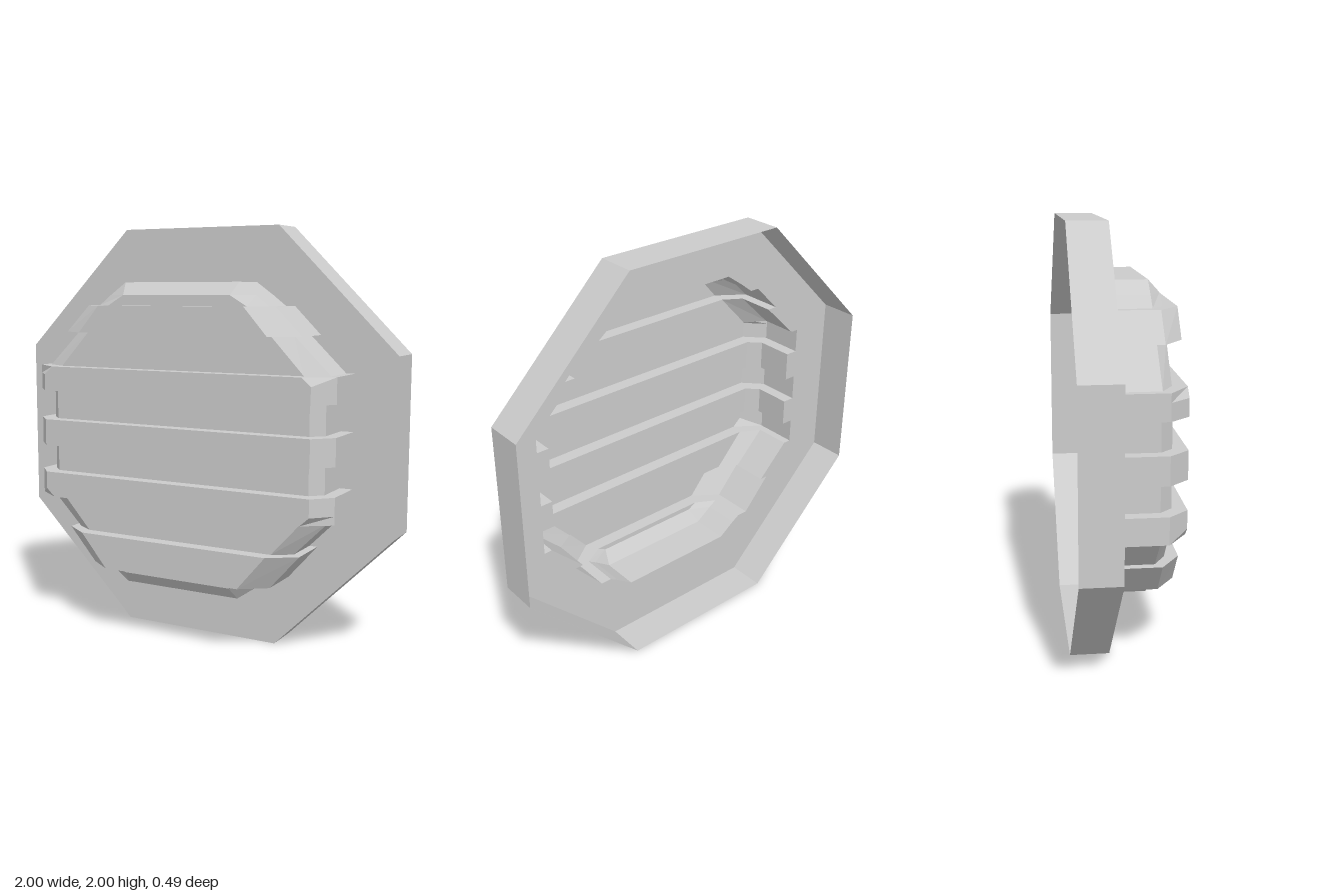
import * as THREE from 'three';

const BACK = -0.245, PLATE = -0.06;   // depth range of the octagonal plate
const LOW = [0.125, 0.18];            // chamfer start and front depth of the grooves
const SLAT = [0.155, 0.245];          // the same for the raised slats

// Cross-sections from top to bottom: [y, half width at wall, half width at front, depths]
const sections = [
  [1.74, 0.305, 0.305, [PLATE, PLATE]],
  [1.74, 0.305, 0.305, [0.125, 0.125]],
  [1.68, 0.39, 0.285, LOW], [1.63, 0.455, 0.37, LOW],
  [1.63, 0.50, 0.385, SLAT], [1.50, 0.63, 0.50, SLAT],
  [1.50, 0.58, 0.49, LOW], [1.33, 0.755, 0.65, LOW],
  [1.33, 0.795, 0.665, SLAT], [1.29, 0.795, 0.71, SLAT], [1.21, 0.795, 0.71, SLAT],
  [1.21, 0.735, 0.68, LOW], [1.065, 0.735, 0.68, LOW],
  [1.065, 0.795, 0.71, SLAT], [0.935, 0.795, 0.71, SLAT],
  [0.935, 0.735, 0.68, LOW], [0.80, 0.735, 0.68, LOW],
  [0.80, 0.795, 0.71, SLAT], [0.715, 0.795, 0.71, SLAT], [0.675, 0.795, 0.665, SLAT],
  [0.675, 0.755, 0.65, LOW], [0.51, 0.59, 0.50, LOW],
  [0.51, 0.63, 0.50, SLAT], [0.345, 0.485, 0.36, SLAT],
  [0.345, 0.43, 0.33, LOW], [0.32, 0.39, 0.285, LOW],
  [0.26, 0.305, 0.305, [0.125, 0.125]],
  [0.26, 0.305, 0.305, [PLATE, PLATE]],
];

// Loft the open-backed vent; repeated heights form the slat ledges
function ventGeometry() {
  const rows = sections.map(([y, xo, xi, [zc, zf]]) =>
    [[xo, PLATE], [xo, zc], [xi, zf], [-xi, zf], [-xo, zc], [-xo, PLATE]]
      .map(([x, z]) => new THREE.Vector3(x, y, z)));
  const pos = [];
  const tri = new THREE.Triangle();
  const add = (a, b, c) => {
    tri.set(a, b, c);
    if (tri.getArea() > 1e-7) for (const p of [a, b, c]) pos.push(p.x, p.y, p.z);
  };
  for (let i = 0; i < rows.length - 1; i++) {
    for (let k = 0; k < 5; k++) {
      const a = rows[i][k], b = rows[i][k + 1], c = rows[i + 1][k + 1], d = rows[i + 1][k];
      add(a, b, c);
      add(a, c, d);
    }
  }
  const geo = new THREE.BufferGeometry();
  geo.setAttribute('position', new THREE.Float32BufferAttribute(pos, 3));
  geo.computeVertexNormals();
  return geo;
}

// Octagonal front face with an opening that follows the stepped vent outline
function faceGeometry() {
  const R = 1 / Math.cos(Math.PI / 8);
  const octagon = Array.from({ length: 8 }, (_, i) => {
    const a = Math.PI / 8 + i * Math.PI / 4;
    return new THREE.Vector2(R * Math.cos(a), 1 + R * Math.sin(a));
  });
  const side = sections.slice(1, -1).filter(([y, x], i, s) =>
    i === 0 || y !== s[i - 1][0] || x !== s[i - 1][1]);
  const right = side.map(([y, x]) => new THREE.Vector2(x, y));
  const left = side.map(([y, x]) => new THREE.Vector2(-x, y)).reverse();
  const shape = new THREE.Shape(octagon);
  shape.holes.push(new THREE.Path([...right, ...left]));
  return new THREE.ShapeGeometry(shape).translate(0, 0, PLATE);
}

// Octagonal rim wall, open at the back
function rimGeometry() {
  const R = 1 / Math.cos(Math.PI / 8);
  return new THREE.CylinderGeometry(R, R, PLATE - BACK, 8, 1, true, Math.PI / 8)
    .rotateX(Math.PI / 2)
    .translate(0, 1, (PLATE + BACK) / 2);
}

export function createModel() {
  const group = new THREE.Group();
  group.name = 'octagonalVent';
  const material = new THREE.MeshStandardMaterial({
    color: 0xcccccc, flatShading: true, side: THREE.DoubleSide,
  });
  const parts = { plateFace: faceGeometry(), plateRim: rimGeometry(), slattedCover: ventGeometry() };
  for (const [name, geometry] of Object.entries(parts)) {
    const mesh = new THREE.Mesh(geometry, material);
    mesh.name = name;
    group.add(mesh);
  }
  return group;
}
